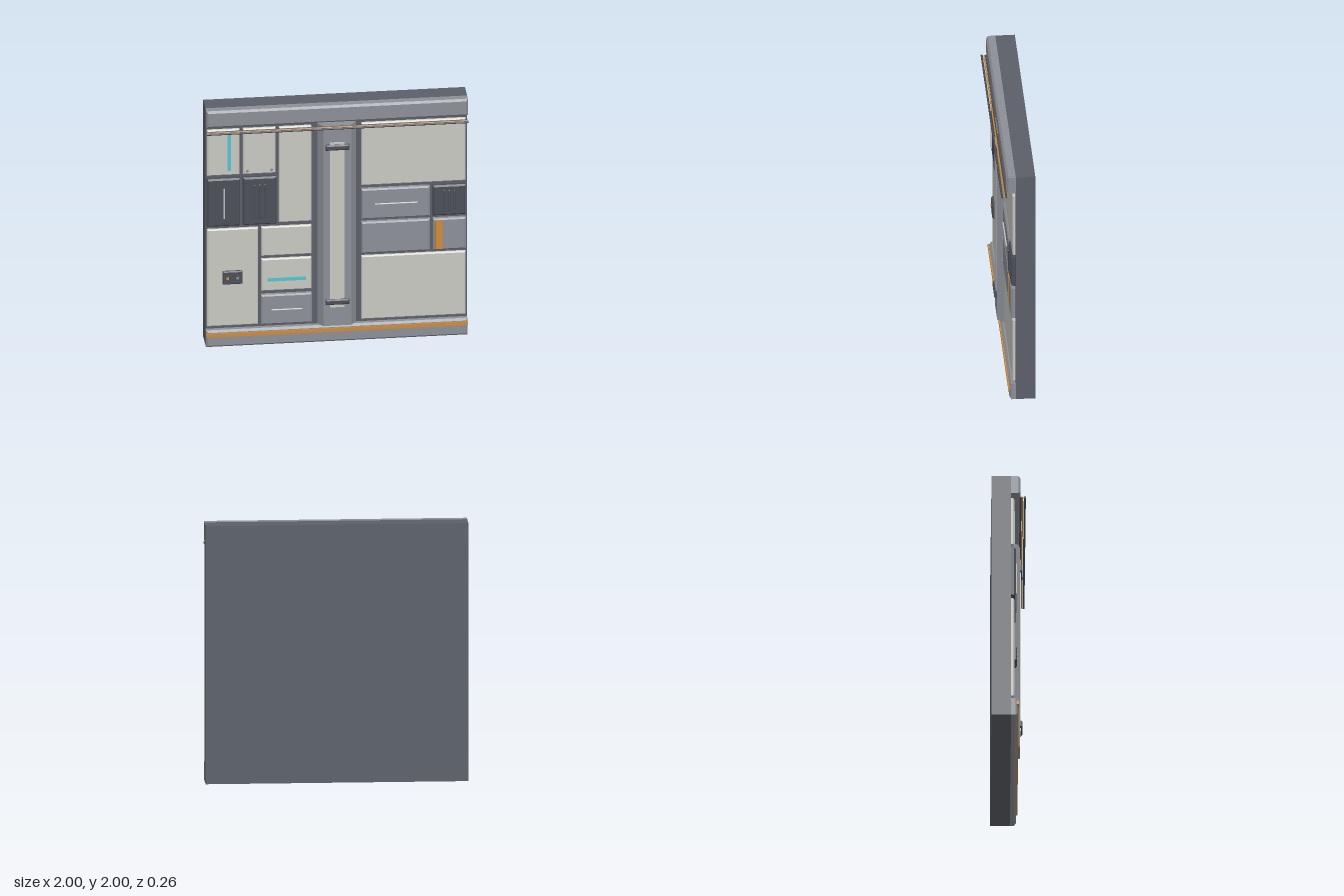
import * as THREE from 'three';

const mat = (name, color) => {
  const m = new THREE.MeshStandardMaterial({ color });
  m.name = name;
  return m;
};

export function createModel() {
  const root = new THREE.Group();
  root.name = 'wallPanel';
  const ivory = mat('ivory panel', 0xc8c8c2);
  const gray = mat('mid gray metal', 0x8b8f96);
  const frame = mat('dark frame', 0x5b5f68);
  const dark = mat('charcoal', 0x4c4f58);
  const orange = mat('orange', 0xd08a38);
  const cyan = mat('cyan light', 0x55c4d0);
  const FACE = 0.018; // front of the backing slab

  const add = (name, geo, material, x = 0, y = 0, z = 0) => {
    const m = new THREE.Mesh(geo, material);
    m.name = name;
    m.position.set(x, y, z);
    root.add(m);
    return m;
  };
  // Plain block given by its limits
  const block = (name, material, x0, x1, y0, y1, z0, z1) =>
    add(name, new THREE.BoxGeometry(x1 - x0, y1 - y0, z1 - z0), material,
      (x0 + x1) / 2, (y0 + y1) / 2, (z0 + z1) / 2);
  // Plate whose front edges are chamfered by b
  const plate = (name, material, x0, x1, y0, y1, z1, b = 0.009, z0 = FACE) => {
    const s = new THREE.Shape([
      new THREE.Vector2(x0 + b, y0 + b), new THREE.Vector2(x1 - b, y0 + b),
      new THREE.Vector2(x1 - b, y1 - b), new THREE.Vector2(x0 + b, y1 - b)]);
    const geo = new THREE.ExtrudeGeometry(s, {
      depth: z1 - z0 - b, bevelEnabled: true, bevelThickness: b, bevelSize: b, bevelSegments: 1 });
    return add(name, geo, material, 0, 0, z0);
  };
  const rod = (name, material, r, len, x, y, z, vertical = false) => {
    const m = add(name, new THREE.CylinderGeometry(r, r, len, 10), material, x, y, z);
    if (!vertical) m.rotation.z = Math.PI / 2;
    return m;
  };
  const screws = (x0, x1, y0, y1, z) => {
    for (const x of [x0, x1]) for (const y of [y0, y1]) {
      add('screw', new THREE.CylinderGeometry(0.011, 0.011, 0.008, 10), gray, x, y, z).rotation.x = Math.PI / 2;
    }
  };

  // Backing slab and horizontal beams
  block('backing', frame, -1, 1, 0, 2, -0.131, FACE);
  plate('topBeam', gray, -1, 1, 1.86, 2, 0.09, 0.016);
  plate('baseBeam', gray, -1, 1, 0, 0.14, 0.066, 0.016);
  block('baseStripe', orange, -1, 1, 0.09, 0.118, 0.06, 0.076);

  // Conduits under the top beam
  rod('innerConduit', dark, 0.007, 2, 0, 1.825, 0.09);
  rod('middleConduit', orange, 0.006, 2, 0, 1.825, 0.104);
  rod('outerConduit', dark, 0.008, 2, 0, 1.825, 0.122);

  // Ivory panels
  for (const [x0, x1, y0, y1] of [
    [-0.99, -0.74, 1.435, 1.82], [-0.715, -0.465, 1.435, 1.82], [-0.44, -0.192, 1.015, 1.82],
    [-0.99, -0.6, 0.165, 0.982], [-0.575, -0.192, 0.738, 0.982], [-0.575, -0.192, 0.443, 0.712],
    [0.19, 0.987, 1.293, 1.82], [0.19, 0.987, 0.165, 0.698]]) {
    plate('ivoryPanel', ivory, x0, x1, y0, y1, 0.042);
  }

  // Gray drawers and covers
  for (const [x0, x1, y0, y1] of [
    [-0.578, -0.19, 0.165, 0.414], [0.188, 0.712, 1.013, 1.266],
    [0.188, 0.712, 0.725, 0.988], [0.735, 0.987, 0.725, 0.988]]) {
    plate('grayPanel', gray, x0, x1, y0, y1, 0.055, 0.011);
  }

  // Charcoal hatches
  for (const [x0, x1, y0, y1] of [
    [-0.99, -0.737, 1.01, 1.41], [-0.715, -0.46, 1.01, 1.41], [0.735, 0.987, 1.013, 1.266]]) {
    plate('darkHatch', dark, x0, x1, y0, y1, 0.053, 0.012);
  }

  // Vent slats
  for (const [cx, y0, y1] of [[-0.59, 1.068, 1.352], [0.86, 1.052, 1.228]]) {
    for (const dx of [-0.039, 0, 0.039]) {
      plate('ventSlat', dark, cx + dx - 0.007, cx + dx + 0.007, y0, y1, 0.062, 0.004, 0.05);
    }
  }

  // Handles
  rod('hatchHandle', ivory, 0.006, 0.25, -0.862, 1.205, 0.058, true);
  rod('drawerHandle', ivory, 0.006, 0.24, -0.382, 0.29, 0.06);
  rod('drawerHandle', ivory, 0.006, 0.325, 0.452, 1.14, 0.06);

  // Screws
  screws(-0.682, -0.498, 1.465, 1.795, 0.042);
  screws(0.218, 0.682, 0.755, 0.958, 0.055);

  // Painted and lit strips
  block('lightStrip', cyan, -0.835, -0.808, 1.475, 1.782, 0.04, 0.047);
  block('lightStrip', cyan, -0.53, -0.235, 0.525, 0.552, 0.04, 0.047);
  block('orangeStrip', orange, 0.752, 0.806, 0.735, 0.978, 0.052, 0.059);

  // Control box with two buttons
  plate('controlBox', dark, -0.872, -0.722, 0.522, 0.632, 0.062, 0.008, 0.038);
  block('button', orange, -0.846, -0.826, 0.566, 0.586, 0.06, 0.068);
  block('button', gray, -0.77, -0.75, 0.566, 0.586, 0.06, 0.068);

  // Central pillar with sloped sides
  const profile = new THREE.Shape([[-0.147, -FACE], [0.147, -FACE], [0.147, -0.036], [0.107, -0.09],
    [-0.107, -0.09], [-0.147, -0.036]].map(([x, z]) => new THREE.Vector2(x, z)));
  const pillar = new THREE.ExtrudeGeometry(profile, { depth: 1.688, bevelEnabled: false });
  add('pillar', pillar, gray, 0, 0.148, 0).rotation.x = -Math.PI / 2;
  block('pillarInlay', ivory, -0.056, 0.054, 0.305, 1.695, 0.088, 0.097);
  for (const y of [0.352, 1.654]) {
    plate('clamp', dark, -0.09, 0.09, y - 0.023, y + 0.023, 0.111, 0.01, 0.085);
  }
  return root;
}
